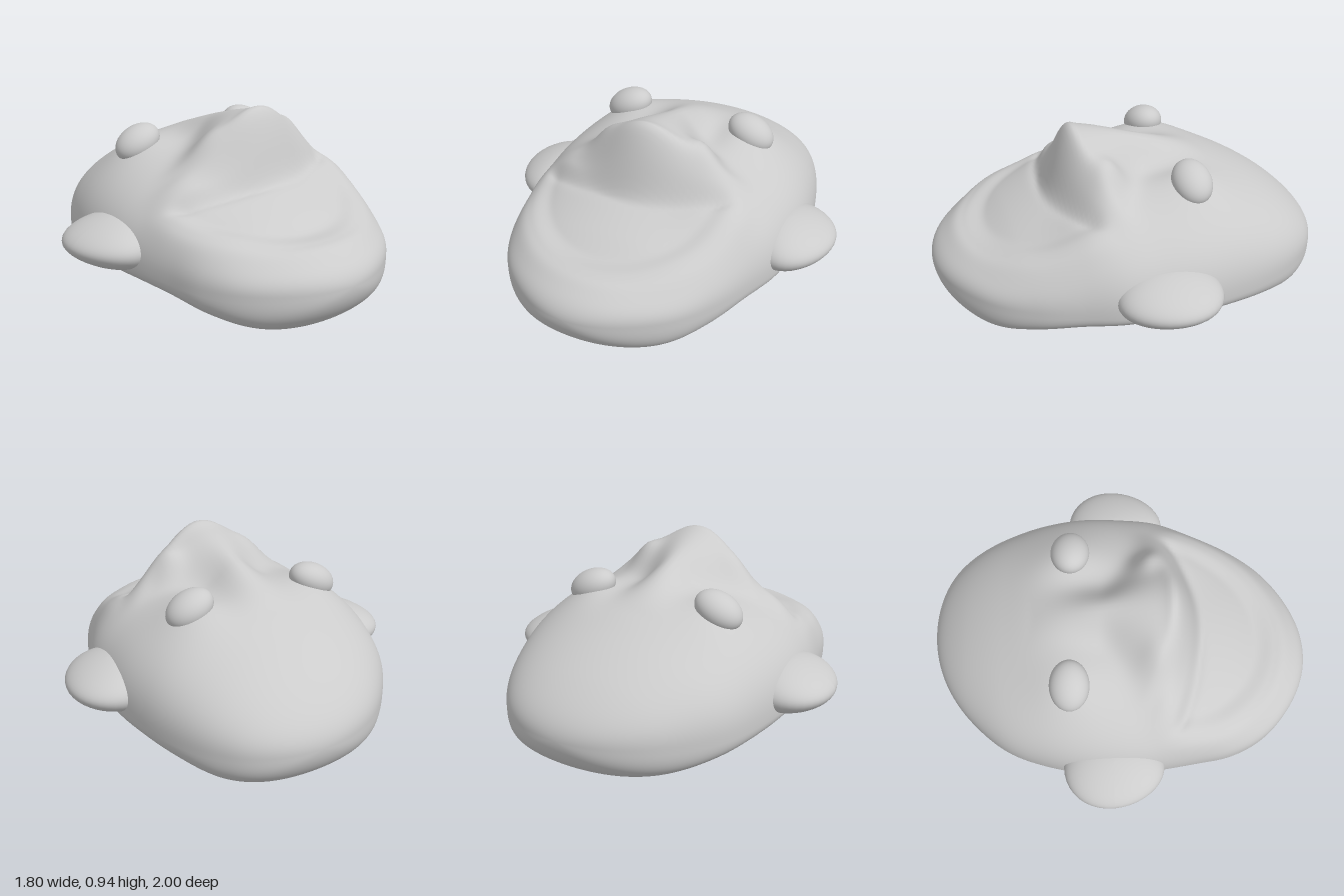
import * as THREE from 'three';
import { mergeVertices } from 'three/addons/utils/BufferGeometryUtils.js';

const { smoothstep, clamp } = THREE.MathUtils;
const bump = (x, z, cx, cz, rx, rz = rx) => Math.exp(-(((x - cx) / rx) ** 2) - ((z - cz) / rz) ** 2);

// Smooth lookup in a table of values spaced evenly from z = -1 to z = 1
function sample(table, z) {
  const p = (z + 1) / 2 * (table.length - 1);
  const i = Math.min(Math.floor(p), table.length - 2), t = p - i;
  const at = k => table[Math.max(0, Math.min(table.length - 1, k))];
  const [a, b, c, d] = [at(i - 1), at(i), at(i + 1), at(i + 2)];
  return b + 0.5 * t * (c - a + t * (2 * a - 5 * b + 4 * c - d + t * (3 * (b - c) + d - a)));
}

// Fullness of the head from forehead (z = -1) to chin (z = 1)
const MID = 0.25;
const WIDTH = [0.82, 0.77, 0.75, 0.73, 0.72, 0.71, 0.704, 0.695, 0.715, 0.73, 0.70];
const SHIFT = [0.08, 0.05, 0.02, 0.01, 0.005, 0, 0, -0.02, -0.04, -0.05, -0.06];
const TOP = [0.38, 0.43, 0.47, 0.505, 0.50, 0.48, 0.45, 0.40, 0.35, 0.285, 0.32];
const BOTTOM = [0.44, 0.385, 0.27, 0.20, 0.165, 0.155, 0.165, 0.205, 0.29, 0.40, 0.43];

// Height of the facial features above the plain head
function relief(x, z) {
  // nose: a widening ridge with a steep underside and two nostril wings
  const zn = z + 0.9 * x * x;
  const width = 0.11 + 0.18 * smoothstep(z, -0.1, 0.22);
  let h = 0.25 * clamp((zn + 0.45) / 0.7, 0, 1) ** 1.4 * (1 - smoothstep(zn, 0.26, 0.44)) * Math.exp(-((x / width) ** 2));
  h += 0.055 * bump(x, z, 0.26, 0.14, 0.07) + 0.03 * bump(x, z, -0.25, 0.18, 0.08);
  // eye sockets beside the bridge, swellings around the eyes
  h -= 0.03 * bump(x, z, 0.17, -0.15, 0.1, 0.2) + 0.01 * bump(x, z, -0.18, -0.12, 0.1, 0.15);
  h += 0.035 * (bump(x, z, 0.34, -0.26, 0.16) + bump(x, z, -0.36, -0.26, 0.16));
  // grinning mouth: sunken crescent, raised lower lip, cheeks above the upper lip
  const u = (x + 0.05) / 0.52;
  const upper = 0.39 - 0.14 * u * u - 0.02 * u;
  const r = Math.hypot(u, (z - 0.24) / 0.56);
  h -= 0.035 * smoothstep(z - upper, -0.04, 0.03) * (1 - smoothstep(r, 0.83, 1.03));
  h += 0.015 * Math.exp(-(((r - 1.12) / 0.09) ** 2)) * smoothstep(z, 0.15, 0.35);
  h += 0.025 * Math.exp(-(((z - upper + 0.09) / 0.06) ** 2)) * (1 - smoothstep(Math.abs(u), 0.7, 1.1));
  h -= 0.015 * Math.exp(-(((z - upper - 0.01) / 0.035) ** 2)) * (1 - smoothstep(Math.abs(u), 0.85, 1.05));
  h += 0.045 * bump(x, z, 0.42, 0.3, 0.18) + 0.02 * bump(x, z, -0.5, 0.3, 0.16);
  return h;
}

// Head: closed cross-sections swept from forehead to chin
function headGeometry(rows = 180, sides = 160) {
  const pos = [], index = [];
  for (let i = 0; i <= rows; i++) {
    const t = Math.PI * i / rows, z = -Math.cos(t), s = Math.sin(t);
    for (let j = 0; j < sides; j++) {
      const a = 2 * Math.PI * j / sides, up = Math.sin(a);
      const x = sample(SHIFT, z) + s * sample(WIDTH, z) * Math.cos(a);
      let y = MID;
      if (up >= 0) {
        y += s * sample(TOP, z) * up ** 0.88 + relief(x, z) * smoothstep(up, 0, 0.45);
      } else {
        // underside, slightly hollowed in the middle
        y -= s * sample(BOTTOM, z) * (-up) ** 0.6;
        y += 0.025 * smoothstep(-up, 0.75, 1) * smoothstep(1 - z * z, 0.5, 1);
      }
      pos.push(x, y, z);
      if (i < rows) {
        const k = (j + 1) % sides, p = i * sides, q = p + sides;
        index.push(p + j, p + k, q + j, p + k, q + k, q + j);
      }
    }
  }
  const geo = new THREE.BufferGeometry();
  geo.setAttribute('position', new THREE.Float32BufferAttribute(pos, 3));
  geo.setIndex(index);
  const welded = mergeVertices(geo, 1e-5);
  welded.computeVertexNormals();
  return welded;
}

// Ear: flattened ball, thick at the head, thin at its edge and narrower towards the lobe
function earGeometry(side) {
  const geo = new THREE.SphereGeometry(1, 40, 28);
  const p = geo.attributes.position;
  for (let i = 0; i < p.count; i++) {
    const x = p.getX(i), out = x * side, z = p.getZ(i);
    p.setXYZ(i, x * 0.215 * (1 - 0.1 * z), p.getY(i) * (0.125 - 0.035 * out), z * 0.26);
  }
  geo.computeVertexNormals();
  return geo;
}

export function createModel() {
  const group = new THREE.Group();
  const material = new THREE.MeshStandardMaterial({ color: 0xcccccc, roughness: 0.8 });
  const add = (name, geo, x, y, z) => {
    const mesh = new THREE.Mesh(geo, material);
    mesh.name = name;
    mesh.position.set(x, y, z);
    group.add(mesh);
    return mesh;
  };

  add('head', headGeometry(), 0, 0, 0);
  for (const side of [1, -1]) {
    const label = side > 0 ? 'left' : 'right';
    add(label + 'Ear', earGeometry(side), side * 0.685, 0.31, side > 0 ? -0.015 : -0.035);
    // bulging eyeball, leaning outwards with the cheek
    const eye = add(label + 'Eye', new THREE.SphereGeometry(1, 36, 24), side > 0 ? 0.345 : -0.365, 0.71, -0.25);
    eye.scale.set(0.128, 0.085, 0.1);
    eye.rotation.z = -side * 0.45;
  }
  return group;
}
